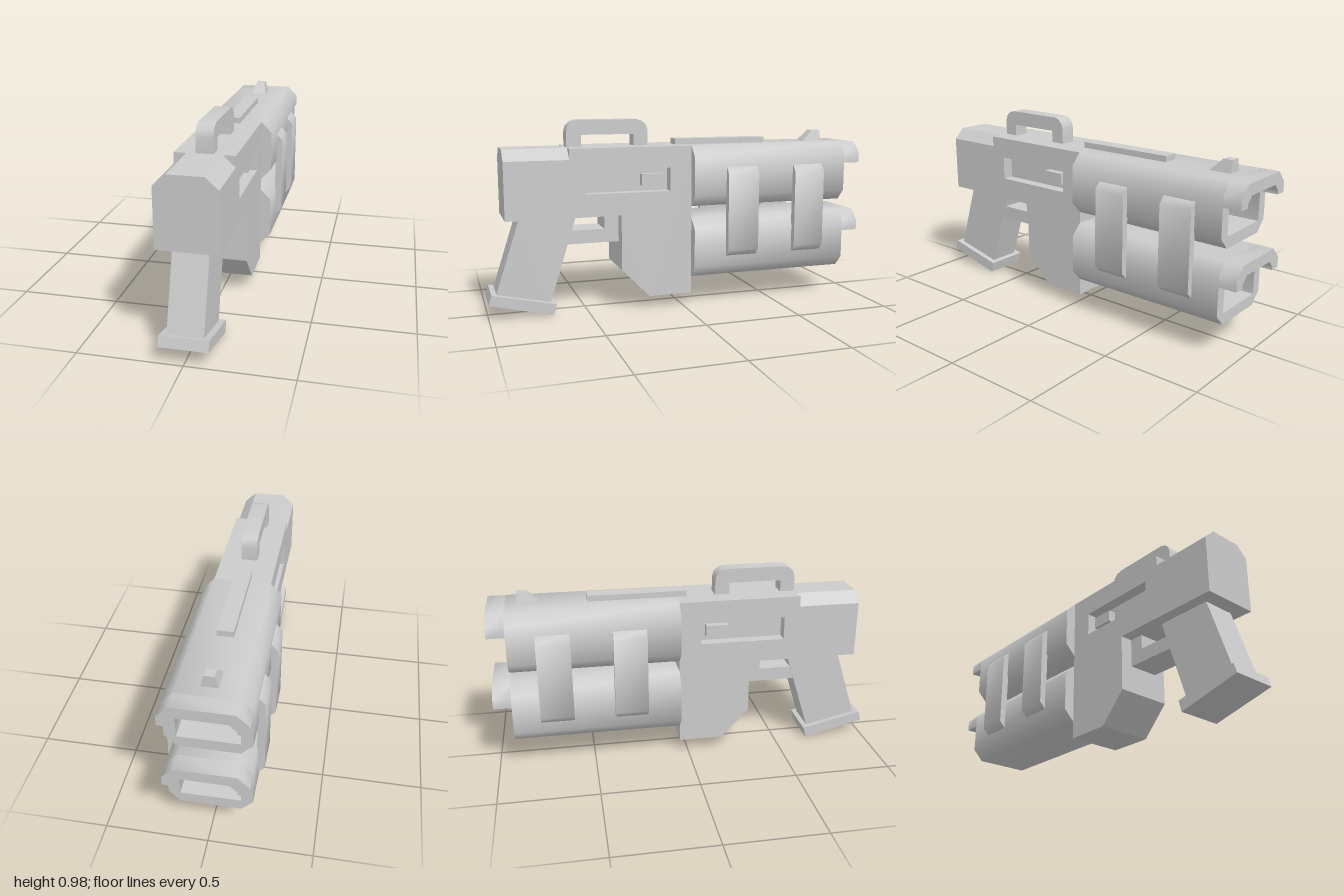
import * as THREE from 'three';
import { toCreasedNormals } from 'three/addons/utils/BufferGeometryUtils.js';

const material = new THREE.MeshStandardMaterial({ color: 0xcccccc });

const trace = (path, pts) => {
  pts.forEach(([x, y], i) => (i ? path.lineTo(x, y) : path.moveTo(x, y)));
  path.closePath();
  return path;
};

function prism(pts, depth, hole) {
  const shape = trace(new THREE.Shape(), pts);
  if (hole) shape.holes.push(trace(new THREE.Path(), hole));
  return new THREE.ExtrudeGeometry(shape, { depth, bevelEnabled: false });
}

// Side outline given as [z, y], extruded from x0 to x1
function sidePrism(pts, x0, x1, hole) {
  const flip = (list) => list && list.map(([z, y]) => [-z, y]);
  return prism(flip(pts), x1 - x0, flip(hole)).rotateY(Math.PI / 2).translate(x0, 0, 0);
}

// Cross-section given as [x, y], extruded from z0 to z1
const crossPrism = (pts, z0, z1, hole) => prism(pts, z1 - z0, hole).translate(0, 0, z0);

const rect = (a0, b0, a1, b1) => [[a0, b0], [a1, b0], [a1, b1], [a0, b1]];
const mirrorX = (pts) => [...pts, ...pts.map(([x, y]) => [-x, y]).reverse()];

export function createModel() {
  const model = new THREE.Group();
  const add = (name, geometry, smooth = false, parent = model) => {
    const mesh = new THREE.Mesh(smooth ? toCreasedNormals(geometry, 0.9) : geometry, material);
    mesh.name = name;
    parent.add(mesh);
    return mesh;
  };

  // Receiver: core slab plus two side plates with a recessed window
  const belly = [[0.91, 0.5], [0.33, 0.5], [0.33, 0.215], [0.185, 0.065], [-0.045, 0.065], [-0.045, 0.845]];
  const core = 0.085, half = 0.145;
  add('receiverCore', sidePrism([...belly, [0.91, 0.845]], -core, core));
  const plate = [...belly, [0.59, 0.845], [0.59, 0.79], [0.91, 0.79]];
  const window = rect(0.07, 0.615, 0.51, 0.735);
  for (const [side, s] of [['left', 1], ['right', -1]]) {
    const span = (a, b) => (s > 0 ? [a, b] : [-b, -a]);
    add(side + 'SidePlate', sidePrism(plate, ...span(core, half), window));
    add(side + 'BoltHandle', sidePrism(rect(0.1, 0.645, 0.215, 0.705), ...span(core, 0.125)));
    // Chamfered rear top edge
    add(side + 'RearChamfer', crossPrism([[s * core, 0.79], [s * half, 0.79], [s * core, 0.845]], 0.59, 0.91));
  }

  // Two hollow barrels with an overhanging upper lip
  for (const [name, cy] of [['upperBarrel', 0.6875], ['lowerBarrel', 0.3125]]) {
    const barrel = new THREE.Group();
    barrel.name = name;
    barrel.position.y = cy;
    model.add(barrel);
    const outer = mirrorX([[0.145, -0.1575], [0.2, -0.1], [0.2, 0.1], [0.145, 0.1575]]);
    const bore = mirrorX([[0.145, -0.1], [0.145, 0.065], [0.11, 0.1]]);
    const lip = mirrorX([[0.145, 0.0475], [0.2, 0.0475], [0.2, 0.1], [0.145, 0.1575]]);
    const lipInside = mirrorX([[0.145, 0.0475], [0.145, 0.065], [0.11, 0.1]]).reverse();
    add(name + 'Body', crossPrism(outer, -0.91, -0.045, bore), true, barrel);
    // Lip outline: over the outside, back along the inside
    const over = [...lip.slice(1, -1), ...lipInside];
    add(name + 'Lip', crossPrism(over, -1, -0.91), true, barrel);
  }

  // Straps joining the barrels on both sides
  for (const z0 of [-0.39, -0.77]) {
    for (const s of [1, -1]) {
      const section = [[0.195, 0.265], [0.2, 0.265], [0.232, 0.3], [0.232, 0.7], [0.2, 0.735], [0.195, 0.735]];
      add(s > 0 ? 'leftStrap' : 'rightStrap', crossPrism(section.map(([x, y]) => [s * x, y]), z0, z0 + 0.17), true);
    }
  }

  // Carry handle with rounded upper corners
  const handle = [[0.585, 0.84], [0.585, 0.92]];
  const arc = (cz, from) => {
    for (let i = 0; i <= 3; i++) {
      const a = from + (i / 3) * (Math.PI / 2);
      handle.push([cz + 0.06 * Math.cos(a), 0.92 + 0.06 * Math.sin(a)]);
    }
  };
  arc(0.525, 0);
  arc(0.22, Math.PI / 2);
  handle.push([0.16, 0.84], [0.235, 0.84], [0.235, 0.905], [0.51, 0.905], [0.51, 0.84]);
  add('carryHandle', sidePrism(handle, -0.042, 0.042), true);

  // Top rail and tapered front sight
  add('topRail', sidePrism(rect(-0.5, 0.84, 0.01, 0.875), -0.04, 0.04));
  const sight = sidePrism([[-0.74, 0.845], [-0.8, 0.905], [-0.85, 0.905], [-0.85, 0.845]], -0.04, 0.04);
  const p = sight.attributes.position;
  for (let i = 0; i < p.count; i++) if (p.getY(i) > 0.9) p.setX(i, p.getX(i) * 0.6);
  sight.computeVertexNormals();
  add('frontSight', sight);

  // Raked grip with a flared base, and the trigger guard
  add('grip', sidePrism([[0.835, 0.505], [0.55, 0.505], [0.69, 0.06], [0.96, 0.12]], -0.085, 0.085));
  add('gripBase', sidePrism([[0.985, 0.13], [1, 0.08], [0.68, 0], [0.665, 0.058]], -0.115, 0.115));
  add('triggerGuard', sidePrism(
    [[0.32, 0.355], [0.61, 0.355], [0.59, 0.425], [0.405, 0.425], [0.405, 0.505], [0.32, 0.505]], -0.08, 0.08));

  return model;
}
